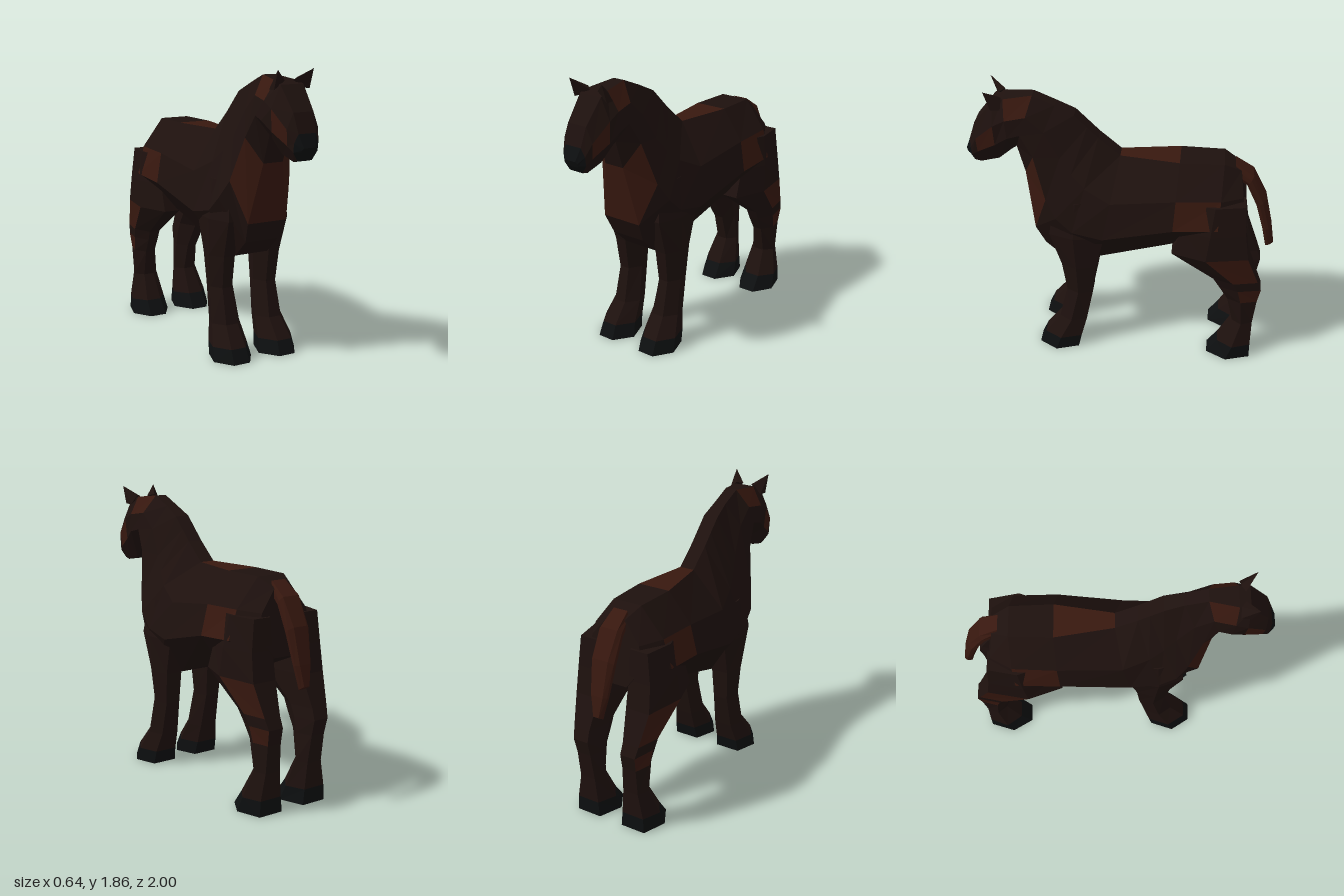
import * as THREE from 'three';
import { ConvexGeometry } from 'three/addons/geometries/ConvexGeometry.js';

const paint = (color) => new THREE.MeshStandardMaterial({ color, flatShading: true });
const materials = { coat: paint(0x1e110e), chestnut: paint(0x38180f), black: paint(0x0d0f10) };

// Skin rings of points, with end caps; pick(ring, side) chooses each panel's colour.
function loft(name, rings, pick) {
  const faces = { coat: [], chestnut: [], black: [] };
  const n = rings[0].length, last = rings.length - 1;
  let volume = 0;
  const tri = (key, a, b, c) => {
    faces[key].push([a, b, c]);
    volume += a.dot(b.clone().cross(c));
  };
  for (let i = 0; i < last; i++) {
    for (let j = 0; j < n; j++) {
      const k = (j + 1) % n, key = pick(i, j);
      tri(key, rings[i][j], rings[i + 1][j], rings[i + 1][k]);
      tri(key, rings[i][j], rings[i + 1][k], rings[i][k]);
    }
  }
  for (let j = 1; j < n - 1; j++) {
    tri(pick(0, j), rings[0][0], rings[0][j], rings[0][j + 1]);
    tri(pick(last - 1, j), rings[last][0], rings[last][j + 1], rings[last][j]);
  }
  const group = new THREE.Group();
  group.name = name;
  for (const [key, list] of Object.entries(faces)) {
    if (!list.length) continue;
    // Turn every face outward whichever way the rings run
    const points = list.flatMap((f) => (volume < 0 ? [f[0], f[2], f[1]] : f));
    const geometry = new THREE.BufferGeometry().setFromPoints(points);
    geometry.computeVertexNormals();
    const mesh = new THREE.Mesh(geometry, materials[key]);
    mesh.name = `${name} ${key}`;
    group.add(mesh);
  }
  return group;
}

// Mirrored eight-point section from a top point to a bottom point, [z, y] each.
function section([top, bottom, widths]) {
  const half = widths.map((w, i) => {
    const t = i / 3;
    return new THREE.Vector3(w, top[1] + (bottom[1] - top[1]) * t, top[0] + (bottom[0] - top[0]) * t);
  });
  const other = half.map((p) => new THREE.Vector3(-p.x, p.y, p.z)).reverse();
  return [...half, ...other];
}

// Six-point level section of a leg
function legSection([y, front, back, inner, outer], side) {
  const at = (u, v) => new THREE.Vector3(side * (inner + (outer - inner) * u), y, front + (back - front) * v);
  return [at(0.3, 0), at(0.72, 0), at(1, 0.45), at(0.82, 1), at(0.2, 1), at(0, 0.45)];
}

// Rump to muzzle: top [z, y], bottom [z, y], half widths from top to bottom
const bodyRings = [
  [[-0.76, 1.36], [-0.82, 0.95], [0.06, 0.17, 0.2, 0.1]],
  [[-0.65, 1.42], [-0.62, 0.86], [0.1, 0.25, 0.3, 0.15]],
  [[-0.37, 1.42], [-0.33, 0.83], [0.11, 0.26, 0.3, 0.15]],
  [[0.01, 1.42], [0.16, 0.66], [0.05, 0.24, 0.275, 0.1]],
  [[0.15, 1.54], [0.38, 0.66], [0.05, 0.2, 0.27, 0.12]],
  [[0.22, 1.61], [0.5, 0.77], [0.05, 0.17, 0.26, 0.12]],
  [[0.3, 1.69], [0.56, 0.9], [0.05, 0.14, 0.22, 0.14]],
  [[0.42, 1.75], [0.62, 1.28], [0.04, 0.12, 0.16, 0.07]],
  [[0.56, 1.81], [0.67, 1.46], [0.04, 0.12, 0.14, 0.06]],
  [[0.74, 1.79], [0.7, 1.44], [0.07, 0.14, 0.15, 0.06]],
  [[0.81, 1.77], [0.79, 1.36], [0.08, 0.14, 0.13, 0.05]],
  [[0.93, 1.62], [0.91, 1.33], [0.07, 0.11, 0.1, 0.05]],
  [[0.97, 1.5], [0.95, 1.34], [0.06, 0.085, 0.085, 0.05]],
  [[1.0, 1.42], [0.98, 1.38], [0.04, 0.05, 0.05, 0.04]],
];
// Reddish panels as ring,side: hips, back, chest, neck and cheeks
const bodyPatches = new Set(['1,1', '1,5', '2,7', '6,2', '6,3', '6,4', '8,0', '8,6', '10,1', '10,5']);

// Outer edge, inner edge, half widths
const tailRings = [
  [[-0.72, 1.4], [-0.74, 1.28], [0.05, 0.06, 0.06, 0.04]],
  [[-0.84, 1.32], [-0.8, 1.25], [0.06, 0.08, 0.08, 0.05]],
  [[-0.93, 1.15], [-0.87, 1.1], [0.05, 0.08, 0.08, 0.05]],
  [[-0.98, 0.93], [-0.92, 0.92], [0.04, 0.06, 0.06, 0.04]],
  [[-1.0, 0.8], [-0.95, 0.77], [0.02, 0.03, 0.03, 0.02]],
];

// Legs, top to sole: y, front z, back z, inner x, outer x
const foreLeg = [
  [1.15, 0.42, 0.12, 0.1, 0.23],
  [0.9, 0.46, 0.1, 0.08, 0.27],
  [0.66, 0.385, 0.16, 0.07, 0.26],
  [0.45, 0.355, 0.18, 0.08, 0.245],
  [0.22, 0.41, 0.225, 0.06, 0.26],
  [0.09, 0.51, 0.26, 0.045, 0.295],
  [0, 0.55, 0.28, 0.03, 0.305],
];
const hindLeg = [
  [1.2, -0.45, -0.8, 0.08, 0.28],
  [1.0, -0.4, -0.81, 0.06, 0.31],
  [0.82, -0.34, -0.835, 0.05, 0.32],
  [0.62, -0.62, -0.91, 0.09, 0.275],
  [0.55, -0.66, -0.935, 0.09, 0.26],
  [0.45, -0.72, -0.915, 0.09, 0.25],
  [0.27, -0.76, -0.895, 0.075, 0.25],
  [0.1, -0.67, -0.89, 0.045, 0.295],
  [0, -0.6, -0.89, 0.03, 0.305],
];

function leg(name, rows, side, patches) {
  const rings = rows.map((row) => legSection(row, side));
  const hoof = rows.length - 2;
  return loft(name, rings, (i, j) => (i === hoof ? 'black' : patches.includes(`${i},${j}`) ? 'chestnut' : 'coat'));
}

function ear(name, side) {
  const points = [[0.125, 1.86, 0.85], [0.03, 1.79, 0.78], [0.125, 1.74, 0.81], [0.12, 1.74, 0.75], [0.07, 1.8, 0.75]];
  const mesh = new THREE.Mesh(
    new ConvexGeometry(points.map(([x, y, z]) => new THREE.Vector3(side * x, y, z))), materials.coat);
  mesh.name = name;
  return mesh;
}

export function createModel() {
  const horse = new THREE.Group();
  horse.name = 'horse';
  horse.add(loft('body', bodyRings.map(section), (i, j) =>
    i === 12 || (i === 11 && j === 3) ? 'black' : bodyPatches.has(`${i},${j}`) ? 'chestnut' : 'coat'));
  horse.add(loft('tail', tailRings.map(section), () => 'chestnut'));
  for (const [word, side] of [['left', 1], ['right', -1]]) {
    horse.add(leg(`${word}ForeLeg`, foreLeg, side, []));
    horse.add(leg(`${word}HindLeg`, hindLeg, side, ['2,2', '4,2']));
    horse.add(ear(`${word}Ear`, side));
  }
  return horse;
}
